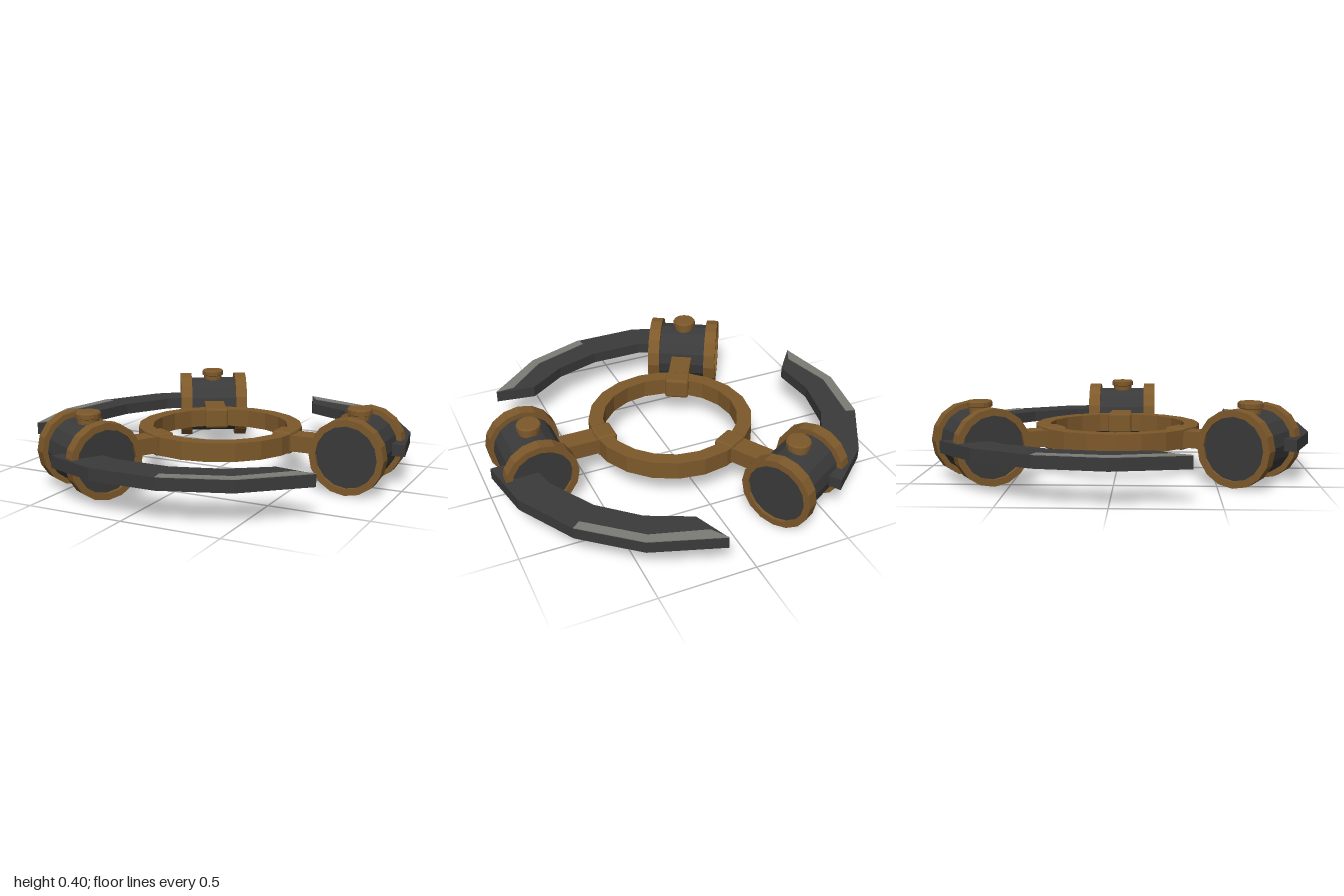
import * as THREE from 'three';
import { RoundedBoxGeometry } from 'three/addons/geometries/RoundedBoxGeometry.js';

const mat = (name, color) => {
  const m = new THREE.MeshStandardMaterial({ color, flatShading: true });
  m.name = name;
  return m;
};

export function createModel() {
  const bronze = mat('bronze', 0x7d592b);
  const iron = mat('dark iron', 0x3a3a3a);
  const steel = mat('sharpened steel', 0x7b7c76);
  const Y = 0.195; // height of the central plane

  const add = (parent, name, geometry, material, x = 0, y = 0, z = 0) => {
    const mesh = new THREE.Mesh(geometry, material);
    mesh.name = name;
    mesh.position.set(x, y, z);
    parent.add(mesh);
    return mesh;
  };

  // Closed ring with a rectangular section, axis along y
  const ringGeometry = (inner, outer, height, sides) => {
    const h = height / 2;
    const section = [[outer, -h], [outer, h], [inner, h], [inner, -h], [outer, -h]];
    return new THREE.LatheGeometry(section.map(p => new THREE.Vector2(...p)), sides);
  };

  // Flat plate outlined by [angle in degrees, radius] points, lying in the xz plane
  const polarPlate = (points, thickness) => {
    const shape = new THREE.Shape(points.map(([deg, r]) => {
      const a = THREE.MathUtils.degToRad(deg);
      return new THREE.Vector2(r * Math.cos(a), r * Math.sin(a));
    }));
    return new THREE.ExtrudeGeometry(shape, { depth: thickness, bevelEnabled: false })
      .rotateX(-Math.PI / 2);
  };

  const drumGeometry = new THREE.CylinderGeometry(0.162, 0.162, 0.36, 16).rotateX(Math.PI / 2);
  const collarGeometry = ringGeometry(0.156, 0.19, 0.065, 16).rotateX(Math.PI / 2);
  const knobGeometry = new THREE.LatheGeometry(
    [[0.053, 0], [0.053, 0.03], [0.063, 0.034], [0.063, 0.056], [0.057, 0.064], [0, 0.064]]
      .map(p => new THREE.Vector2(...p)), 16);
  const bladeGeometry = polarPlate([
    [3, 0.996], [20, 1], [40, 1], [60, 1], [81.7, 0.997],
    [74.5, 0.822], [57.5, 0.817], [40, 0.813], [20, 0.813], [3, 0.813],
  ], 0.06);
  const edgeGeometry = polarPlate([
    [40, 1], [60, 1], [81.7, 0.997], [77.5, 0.925], [60, 0.948], [40, 0.948],
  ], 0.004);

  const model = new THREE.Group();
  model.name = 'threeBladedWheel';
  add(model, 'centreRing', ringGeometry(0.358, 0.435, 0.095, 20), bronze, 0, Y + 0.003);

  // Three identical arms, each with a drum and a curved blade
  for (let i = 0; i < 3; i++) {
    const arm = new THREE.Group();
    arm.name = 'arm' + (i + 1);
    arm.rotation.y = i * Math.PI * 2 / 3;
    model.add(arm);

    add(arm, 'clamp', new RoundedBoxGeometry(0.105, 0.112, 0.13, 1, 0.012), bronze, 0.378, Y + 0.003);
    add(arm, 'spoke', new THREE.BoxGeometry(0.24, 0.084, 0.114), bronze, 0.52, Y + 0.003);
    add(arm, 'drum', drumGeometry, iron, 0.77, Y);
    for (const side of [-1, 1]) {
      add(arm, 'drumCollar', collarGeometry, bronze, 0.77, Y, side * 0.163);
    }
    add(arm, 'knob', knobGeometry, bronze, 0.77, 0.342);
    add(arm, 'blade', bladeGeometry, iron, 0, 0.167);
    add(arm, 'bladeEdge', edgeGeometry, steel, 0, 0.2268);
  }
  return model;
}
